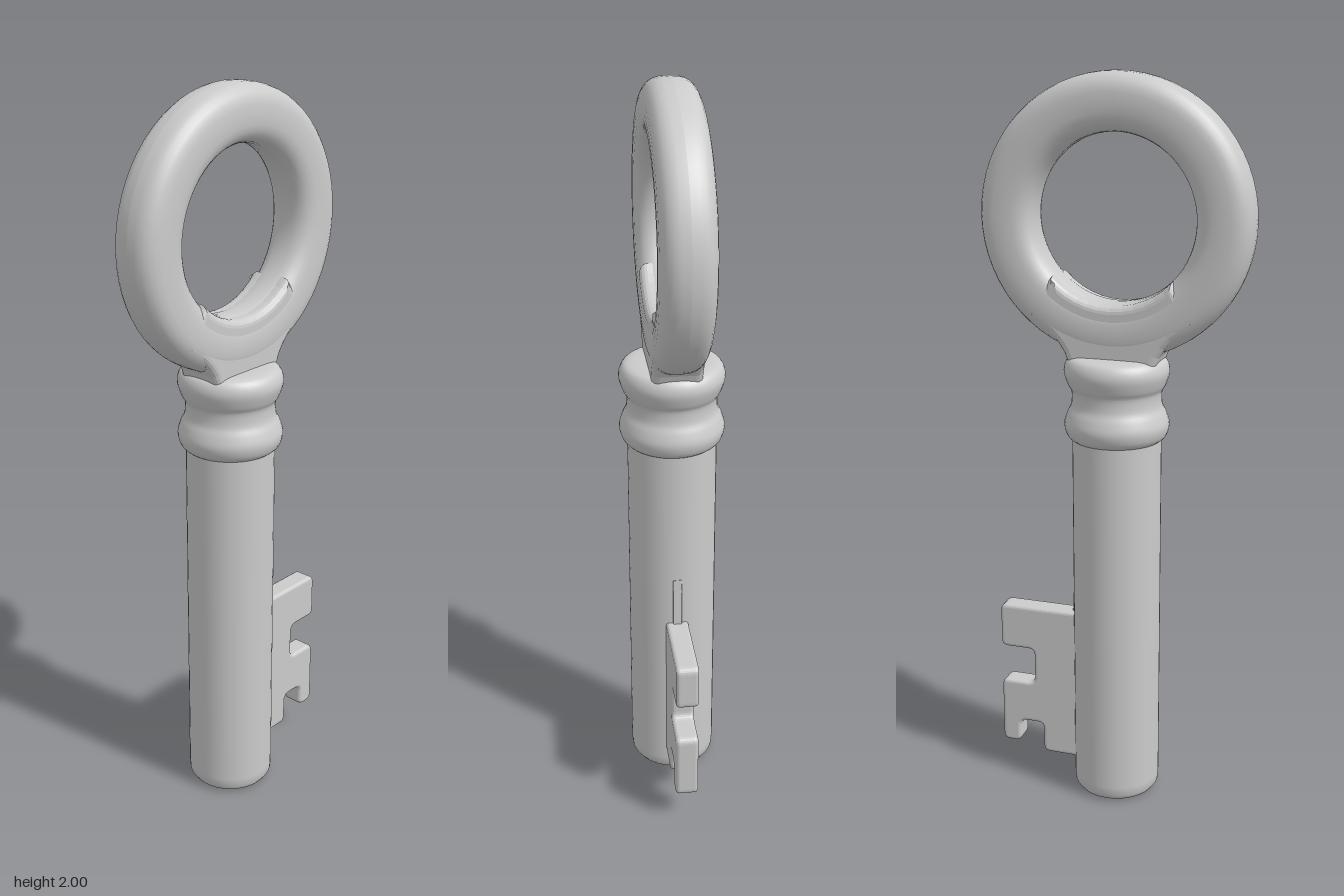
import * as THREE from 'three';

const material = new THREE.MeshStandardMaterial({ color: 0xcccccc });

function part(name, geometry) {
  const mesh = new THREE.Mesh(geometry, material);
  mesh.name = name;
  return mesh;
}

// Closed polygon whose corners are rounded by radius r
function roundedShape(points, r) {
  const pts = points.map(([x, y]) => new THREE.Vector2(x, y));
  const shape = new THREE.Shape();
  pts.forEach((p, i) => {
    const prev = pts[(i + pts.length - 1) % pts.length];
    const next = pts[(i + 1) % pts.length];
    const a = prev.clone().sub(p).setLength(r).add(p);
    const b = next.clone().sub(p).setLength(r).add(p);
    if (i === 0) shape.moveTo(a.x, a.y);
    else shape.lineTo(a.x, a.y);
    shape.quadraticCurveTo(p.x, p.y, b.x, b.y);
  });
  shape.closePath();
  return shape;
}

// Bevelled plate centred on z = 0, kept within its outline
function plate(shape, halfDepth, bevel) {
  const geometry = new THREE.ExtrudeGeometry(shape, {
    depth: 2 * (halfDepth - bevel), bevelEnabled: true, bevelThickness: bevel,
    bevelSize: bevel, bevelOffset: -bevel, bevelSegments: 4, curveSegments: 6,
  });
  return geometry.translate(0, 0, -(halfDepth - bevel));
}

export function createModel() {
  const group = new THREE.Group();
  const ringY = 1.635;

  // Ring handle: soft-cornered cross-section swept around the z axis
  const section = [];
  for (let i = 0; i <= 28; i++) {
    const t = (i / 28) * Math.PI * 2;
    const soft = (v) => Math.sign(v) * Math.pow(Math.abs(v), 0.75);
    section.push(new THREE.Vector2(0.291 + 0.075 * soft(Math.cos(t)), 0.07 * soft(Math.sin(t))));
  }
  const ring = part('ringHandle', new THREE.LatheGeometry(section, 64).rotateX(Math.PI / 2));
  ring.position.y = ringY;
  group.add(ring);

  // Flared neck joining the ring to the collar, hollowed along the ring's hole
  const neckShape = new THREE.Shape();
  neckShape.moveTo(-0.118, 1.24);
  neckShape.lineTo(0.118, 1.24);
  neckShape.quadraticCurveTo(0.115, 1.31, 0.23, 1.38);
  neckShape.lineTo(0.165, 1.48);
  neckShape.absarc(0, ringY, 0.22, -0.75, Math.PI + 0.75, true);
  neckShape.lineTo(-0.23, 1.38);
  neckShape.quadraticCurveTo(-0.115, 1.31, -0.118, 1.24);
  group.add(part('neck', plate(neckShape, 0.067, 0.02)));

  // Shaft with softened ends
  const shaft = [[0, 0.005], [0.09, 0.005], [0.108, 0.01], [0.118, 0.024], [0.12, 0.05], [0.12, 1.08]]
    .map(([r, y]) => new THREE.Vector2(r, y));
  group.add(part('shaft', new THREE.LatheGeometry(shaft, 40)));

  // Collar with two rounded beads
  const collarCurve = new THREE.SplineCurve([
    [0.115, 1.045], [0.133, 1.06], [0.141, 1.09], [0.133, 1.12], [0.122, 1.145], [0.121, 1.18],
    [0.131, 1.2], [0.141, 1.235], [0.133, 1.263], [0.112, 1.275], [0.06, 1.277], [0, 1.277],
  ].map(([r, y]) => new THREE.Vector2(r, y)));
  const collar = collarCurve.getPoints(44);
  collar[44].x = 0;
  group.add(part('collar', new THREE.LatheGeometry(collar, 40)));

  // Toothed bit on the left side
  const bit = roundedShape([
    [0.08, 0.08], [0.215, 0.08], [0.215, 0.17], [0.285, 0.17], [0.285, 0.1], [0.34, 0.1],
    [0.34, 0.295], [0.24, 0.295], [0.24, 0.4], [0.34, 0.4], [0.34, 0.53], [0.08, 0.53],
  ], 0.02);
  group.add(part('bit', plate(bit, 0.031, 0.01)));

  // Slim ridge tapering up the shaft above the bit
  const ridge = new THREE.Shape();
  ridge.moveTo(0.09, 0.5);
  ridge.lineTo(0.128, 0.5);
  ridge.lineTo(0.121, 0.67);
  ridge.lineTo(0.09, 0.67);
  group.add(part('ridge', plate(ridge, 0.012, 0.003)));

  return group;
}
